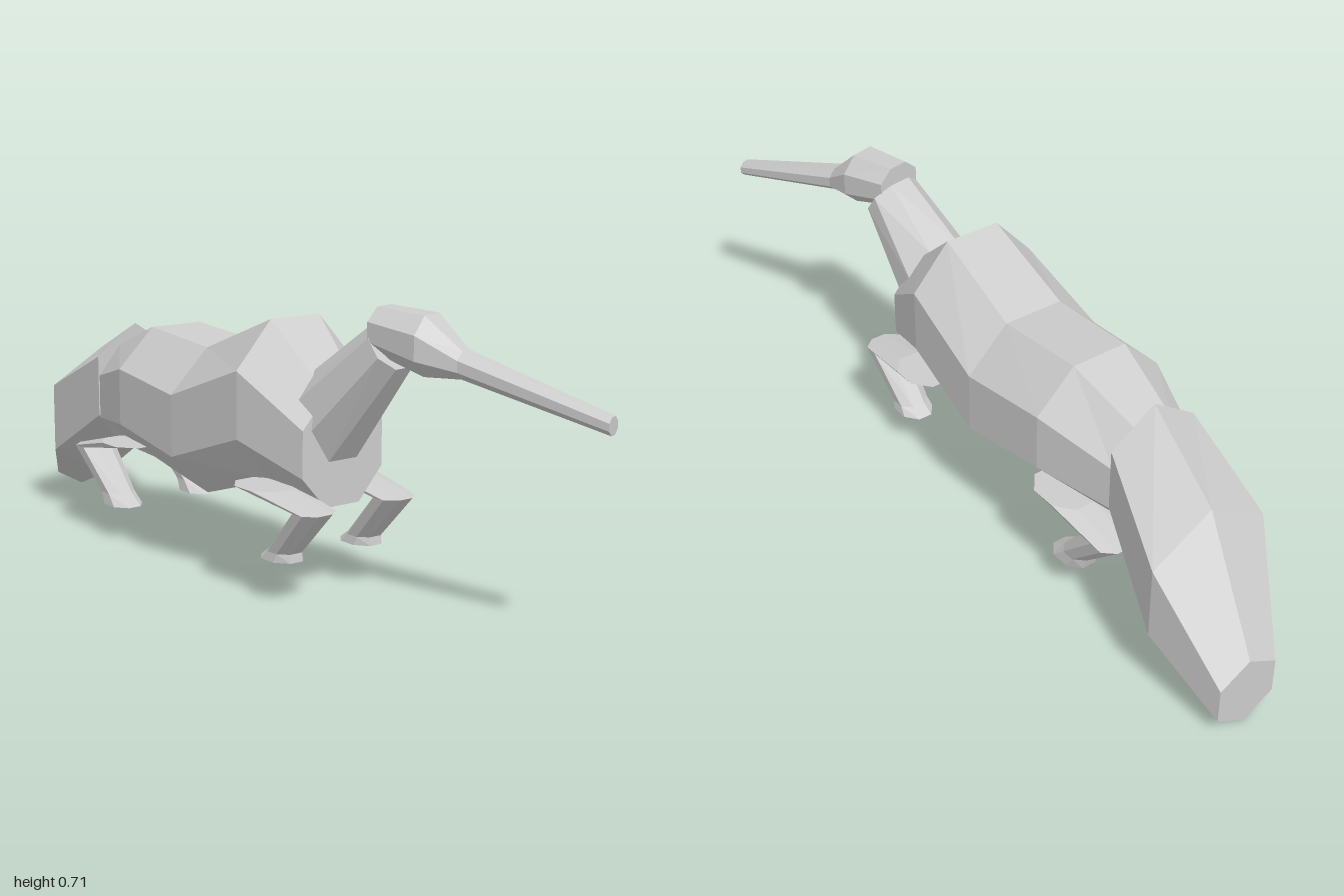
import * as THREE from 'three';

const OCTAGON = [[0.42, 1], [1, 0.42], [1, -0.42], [0.42, -1], [-0.42, -1], [-1, -0.42], [-1, 0.42], [-0.42, 1]];
const HEXAGON = [[0, 1], [1, 0.5], [1, -0.5], [0, -1], [-1, -0.5], [-1, 0.5]];

// Cross-section centred on (x, y, z), with half width w and half height h
function ring(outline, [x, y, z, w, h, pitch = 0, yaw = 0]) {
  const turn = new THREE.Euler(pitch, yaw, 0, 'YXZ');
  return outline.map(([u, v]) =>
    new THREE.Vector3(u * w, v * h, 0).applyEuler(turn).add(new THREE.Vector3(x, y, z)));
}

// Closed faceted solid through a series of rings
function loft(rings) {
  const n = rings[0].length;
  const first = rings[0], last = rings[rings.length - 1];
  const tris = [];
  for (let r = 0; r < rings.length - 1; r++) {
    const a = rings[r], b = rings[r + 1];
    for (let i = 0; i < n; i++) {
      const j = (i + 1) % n;
      tris.push([a[i], b[i], b[j]], [a[i], b[j], a[j]]);
    }
  }
  for (let i = 1; i < n - 1; i++) {
    tris.push([first[0], first[i], first[i + 1]], [last[0], last[i + 1], last[i]]);
  }
  // Turn the faces outward whichever way the rings run
  const volume = tris.reduce((s, [a, b, c]) => s + a.dot(b.clone().cross(c)), 0);
  if (volume < 0) tris.forEach((t) => t.reverse());
  const geometry = new THREE.BufferGeometry().setFromPoints(tris.flat());
  geometry.computeVertexNormals();
  return geometry;
}

export function createModel() {
  const model = new THREE.Group();
  const grey = new THREE.MeshStandardMaterial({ color: 0xcccccc, flatShading: true });
  grey.name = 'plain grey';

  const add = (name, rings) => {
    const mesh = new THREE.Mesh(loft(rings), grey);
    mesh.name = name;
    model.add(mesh);
  };
  const addLoft = (name, outline, sections) => add(name, sections.map((s) => ring(outline, s)));

  // Humped trunk
  addLoft('body', OCTAGON, [
    [-0.01, 0.36, 0.33, 0.12, 0.135],
    [-0.01, 0.455, 0.15, 0.175, 0.195],
    [-0.01, 0.365, -0.10, 0.19, 0.185],
    [-0.01, 0.398, -0.35, 0.178, 0.172],
    [-0.01, 0.36, -0.55, 0.115, 0.135],
  ]);

  // Thick drooping tail, swung to one side
  addLoft('tail', HEXAGON, [
    [-0.01, 0.39, -0.545, 0.12, 0.16],
    [0.04, 0.26, -0.80, 0.16, 0.185],
    [0.085, 0.09, -1.0, 0.08, 0.09],
  ]);

  // Neck rising to the head
  addLoft('neck', OCTAGON, [
    [-0.01, 0.437, 0.30, 0.1, 0.107, -0.285],
    [0.02, 0.62, 0.465, 0.07, 0.06, -0.6, 0.15],
  ]);

  // Turned head narrowing into a long snout
  addLoft('head', OCTAGON, [
    [0.01, 0.655, 0.445, 0.062, 0.053, 0, 0.2],
    [0.035, 0.633, 0.575, 0.071, 0.068, 0, 0.25],
    [0.062, 0.597, 0.655, 0.038, 0.031, 0, 0.3],
  ]);
  addLoft('snout', OCTAGON, [
    [0.062, 0.597, 0.655, 0.038, 0.031, 0, 0.3],
    [0.161, 0.505, 0.993, 0.022, 0.02, 0, 0.3],
  ]);

  // Crouched legs: level sections at hip, knee, ankle and sole
  const legs = {
    front: [
      [0.126, 0.265, 0.19, 0.062, 0.075],
      [0.122, 0.237, 0.375, 0.05, 0.042],
      [0.122, 0.123, 0.27, 0.04, 0.04],
      [0.122, 0.102, 0.257, 0.044, 0.056],
    ],
    hind: [
      [0.126, 0.265, -0.39, 0.062, 0.08],
      [0.122, 0.228, -0.565, 0.05, 0.045],
      [0.122, 0.12, -0.455, 0.04, 0.04],
      [0.122, 0.09, -0.43, 0.044, 0.056],
    ],
  };
  for (const [place, sections] of Object.entries(legs)) {
    for (const side of [-1, 1]) {
      add(`${place}${side > 0 ? 'Left' : 'Right'}Leg`, sections.map(([x, y, z, w, d]) =>
        ring(OCTAGON, [side * x - 0.01, y, z, w, d, Math.PI / 2])));
    }
  }

  return model;
}
